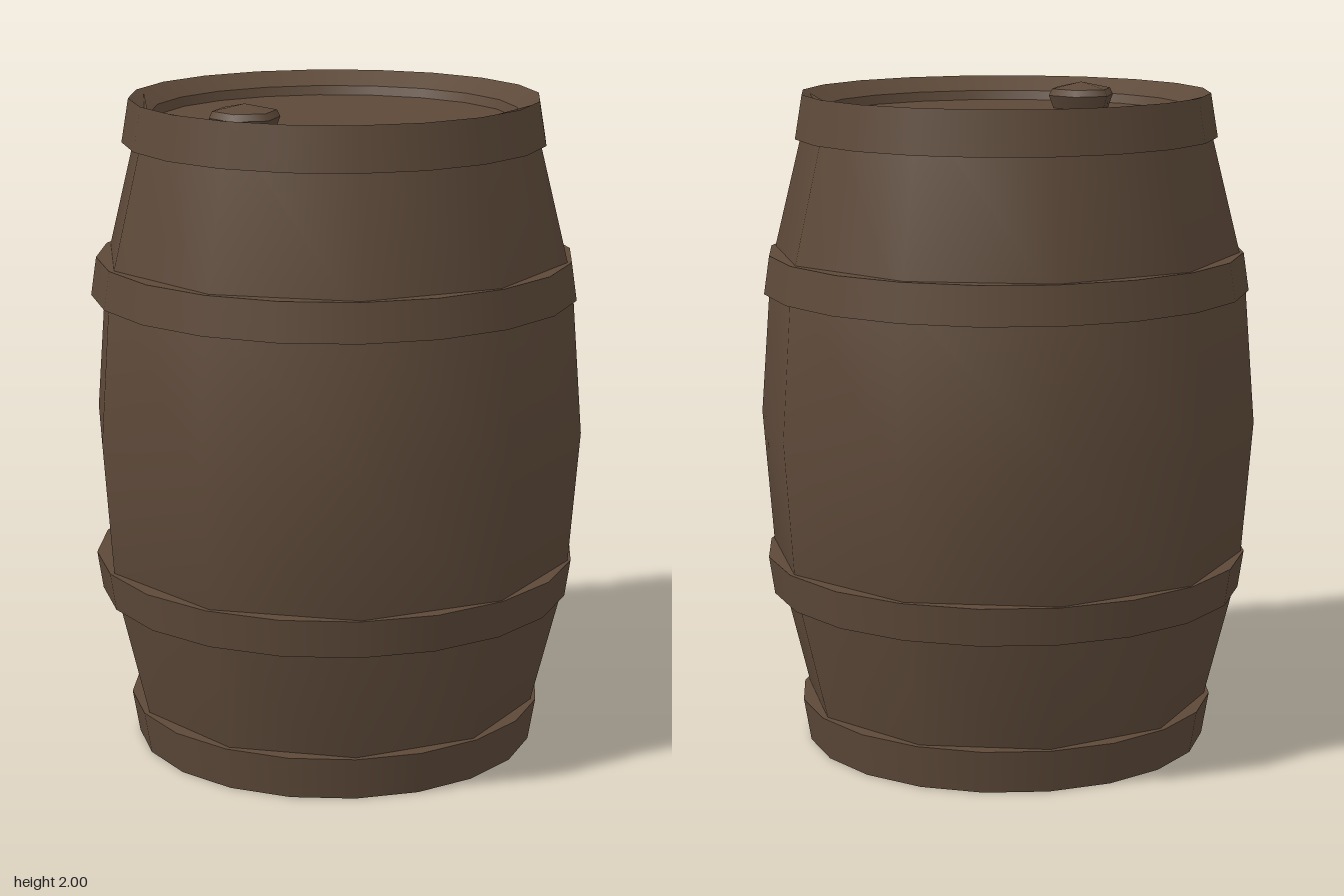
import * as THREE from 'three';
import { mergeGeometries } from 'three/addons/utils/BufferGeometryUtils.js';

const MID = 0.996; // half height of the barrel

// Turned shape, smooth around the axis but sharp between profile segments
function turned(profile, sides) {
  const strips = [];
  for (let i = 0; i < profile.length - 1; i++) {
    const pair = [profile[i], profile[i + 1]].map(([r, y]) => new THREE.Vector2(r, y));
    strips.push(new THREE.LatheGeometry(pair, sides, Math.PI / 2));
  }
  return mergeGeometries(strips);
}

// Same profile flipped top to bottom, reversed so faces stay outward
const flipped = (profile) => profile.map(([r, y]) => [r, -y]).reverse();

export function createModel() {
  const group = new THREE.Group();
  const wood = new THREE.MeshStandardMaterial({ color: 0x5d4939 });
  wood.name = 'darkBrownWood';

  const add = (name, geometry, y = MID) => {
    const mesh = new THREE.Mesh(geometry, wood);
    mesh.name = name;
    mesh.position.y = y;
    group.add(mesh);
  };

  // Bulging ten-sided body, slightly flattened front to back at the belly
  const half = [[0.765, 0], [0.727, 0.454], [0.592, 0.985]];
  const outline = [...flipped(half.slice(1)), ...half].map(([r, y]) => new THREE.Vector2(r, y));
  const body = new THREE.LatheGeometry(outline, 10, Math.PI / 2);
  const pos = body.attributes.position;
  for (let i = 0; i < pos.count; i++) {
    const bulge = 1 - Math.abs(pos.getY(i));
    pos.setZ(i, pos.getZ(i) * (1 - 0.02 * bulge));
  }
  add('body', body);

  // Round hoops on the belly
  const hoop = [[0.62, 0.405], [0.737, 0.405], [0.72, 0.52], [0.62, 0.52]];
  add('upperHoop', turned(hoop, 20));
  add('lowerHoop', turned(flipped(hoop), 20));

  // End hoops with bevelled rim and recessed head
  const end = [[0.55, 0.865], [0.637, 0.865], [0.615, 0.996], [0.55, 0.953], [0.54, 0.925], [0, 0.925]];
  add('topHoopAndHead', turned(end, 20));
  add('bottomHoopAndHead', turned(flipped(end), 20));

  // Hexagonal bung near the front of the top head
  const bung = [[0.088, 1.915], [0.105, 1.96], [0.095, 1.98], [0, 2.0]];
  const bungGeometry = turned(bung, 6);
  bungGeometry.translate(0, 0, 0.35);
  add('bung', bungGeometry, 0);

  return group;
}
